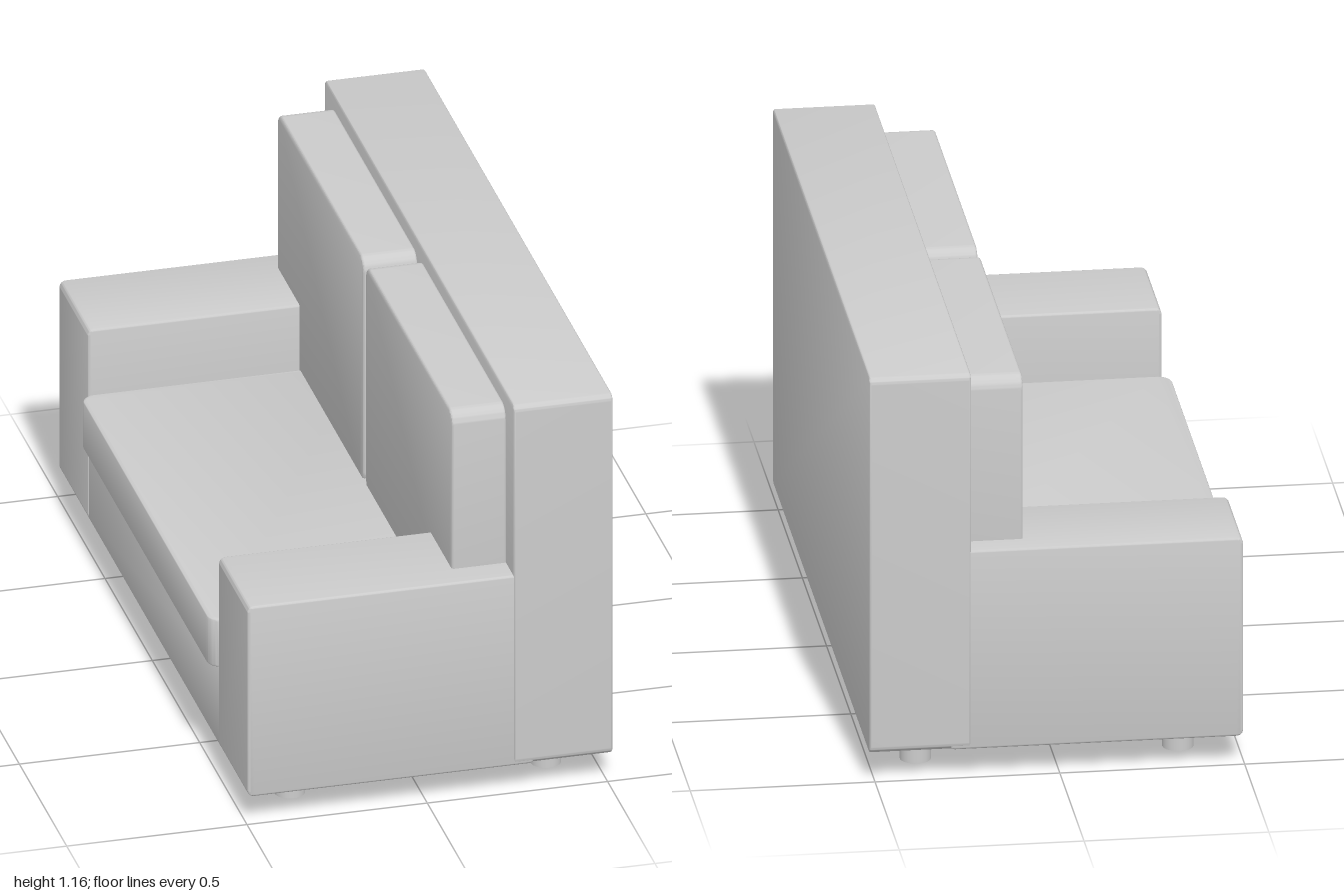
import * as THREE from 'three';
import { toCreasedNormals } from 'three/addons/utils/BufferGeometryUtils.js';

const material = new THREE.MeshStandardMaterial({ color: 0xcccccc });

// Rounded rectangle centred on the origin
function roundedRect(w, h, r) {
  const x = w / 2, y = h / 2, s = new THREE.Shape();
  s.absarc(x - r, y - r, r, 0, Math.PI / 2);
  s.absarc(-x + r, y - r, r, Math.PI / 2, Math.PI);
  s.absarc(-x + r, -y + r, r, Math.PI, Math.PI * 1.5);
  s.absarc(x - r, -y + r, r, Math.PI * 1.5, Math.PI * 2);
  s.closePath();
  return s;
}

// Upholstered block between two corners: its outline, seen along the axis,
// has corner radius r; the edges of the two end faces have a small bevel b
function block(name, axis, min, max, r, b) {
  const [w, h, d] = max.map((v, i) => v - min[i]);
  const [sw, sh, depth] = { x: [d, h, w], y: [w, d, h], z: [w, h, d] }[axis];
  let geo = new THREE.ExtrudeGeometry(roundedRect(sw, sh, r), {
    depth: depth - 2 * b, curveSegments: 6,
    bevelThickness: b, bevelSize: b, bevelOffset: -b, bevelSegments: 4,
  });
  geo.translate(0, 0, b - depth / 2);
  if (axis === 'x') geo.rotateY(Math.PI / 2);
  if (axis === 'y') geo.rotateX(-Math.PI / 2);
  geo = toCreasedNormals(geo, 0.6);
  const mesh = new THREE.Mesh(geo, material);
  mesh.name = name;
  mesh.position.set(...max.map((v, i) => (v + min[i]) / 2));
  return mesh;
}

export function createModel() {
  const sofa = new THREE.Group();
  sofa.name = 'sofa';

  // Tall backrest, full width; the seat faces -x
  sofa.add(block('backrest', 'x', [0.24, 0.08, -1], [0.515, 1.163, 1], 0.02, 0.006));

  // Base and seat cushion between the arms
  sofa.add(block('seatBase', 'z', [-0.494, 0.081, -0.7], [0.3, 0.32, 0.7], 0.008, 0.004));
  sofa.add(block('seatCushion', 'y', [-0.52, 0.315, -0.69], [0.26, 0.46, 0.685], 0.04, 0.008));

  // Arms
  sofa.add(block('rightArm', 'z', [-0.497, 0.08, 0.688], [0.3, 0.652, 0.998], 0.018, 0.007));
  sofa.add(block('leftArm', 'z', [-0.497, 0.08, -0.998], [0.3, 0.652, -0.692], 0.018, 0.007));

  // Two back cushions that overlap the arms
  for (const [name, z0, z1] of [['leftBackCushion', -0.928, -0.018], ['rightBackCushion', 0.004, 0.917]]) {
    sofa.add(block(name, 'x', [0.09, 0.44, z0], [0.242, 1.12, z1], 0.04, 0.007));
  }

  // Short round legs
  const legGeometry = new THREE.CylinderGeometry(0.042, 0.042, 0.09, 32);
  for (const x of [-0.34, 0.37]) {
    for (const z of [-0.84, 0.84]) {
      const leg = new THREE.Mesh(legGeometry, material);
      leg.name = 'leg';
      leg.position.set(x, 0.045, z);
      sofa.add(leg);
    }
  }
  return sofa;
}
